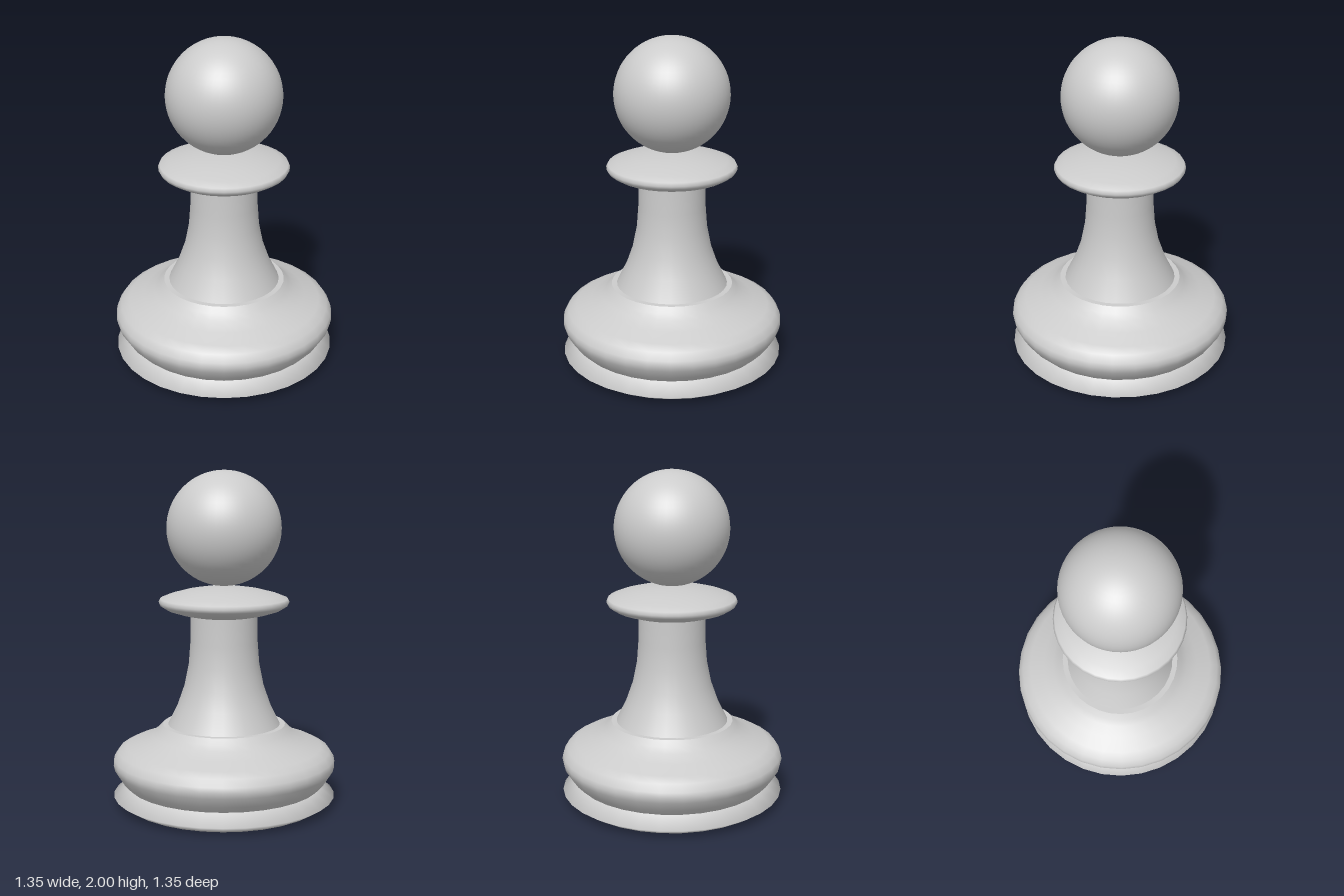
import * as THREE from 'three';

const SIDES = 32;
const material = new THREE.MeshStandardMaterial({ color: 0xcccccc });

// Smooth turned part from [radius, height] pairs, listed bottom to top
function turned(name, profile) {
  const points = profile.map(([r, y]) => new THREE.Vector2(r, y));
  const mesh = new THREE.Mesh(new THREE.LatheGeometry(points, SIDES), material);
  mesh.name = name;
  return mesh;
}

export function createModel() {
  const group = new THREE.Group();
  group.name = 'pawn';

  // Flat underside
  group.add(turned('underside', [[0, 0], [0.59, 0]]));

  // Foot ring, tapering up into the groove
  group.add(turned('footRing', [[0.59, 0], [0.61, 0.01], [0.672, 0.05], [0.588, 0.113]]));

  // Rounded base bulge with a shoulder and a narrow ledge at the stem
  group.add(turned('base', [
    [0.588, 0.113], [0.628, 0.155], [0.665, 0.215], [0.673, 0.25], [0.667, 0.28],
    [0.64, 0.323], [0.59, 0.35], [0.5, 0.383], [0.435, 0.42], [0.4, 0.45], [0.37, 0.482],
  ]));
  group.add(turned('ledge', [[0.37, 0.482], [0.335, 0.482]]));

  // Flared stem
  group.add(turned('stem', [
    [0.338, 0.482], [0.28, 0.6], [0.238, 0.72], [0.212, 0.85], [0.202, 0.98], [0.2, 1.145],
  ]));

  // Collar disc with a domed top
  group.add(turned('collar', [
    [0.2, 1.143], [0.27, 1.158], [0.34, 1.18], [0.38, 1.205], [0.39, 1.225],
    [0.38, 1.245], [0.33, 1.265], [0.23, 1.292], [0.12, 1.31], [0, 1.316],
  ]));

  // Round head
  const head = new THREE.Mesh(new THREE.SphereGeometry(0.34, 48, 32), material);
  head.name = 'head';
  head.position.y = 1.66;
  group.add(head);

  return group;
}
